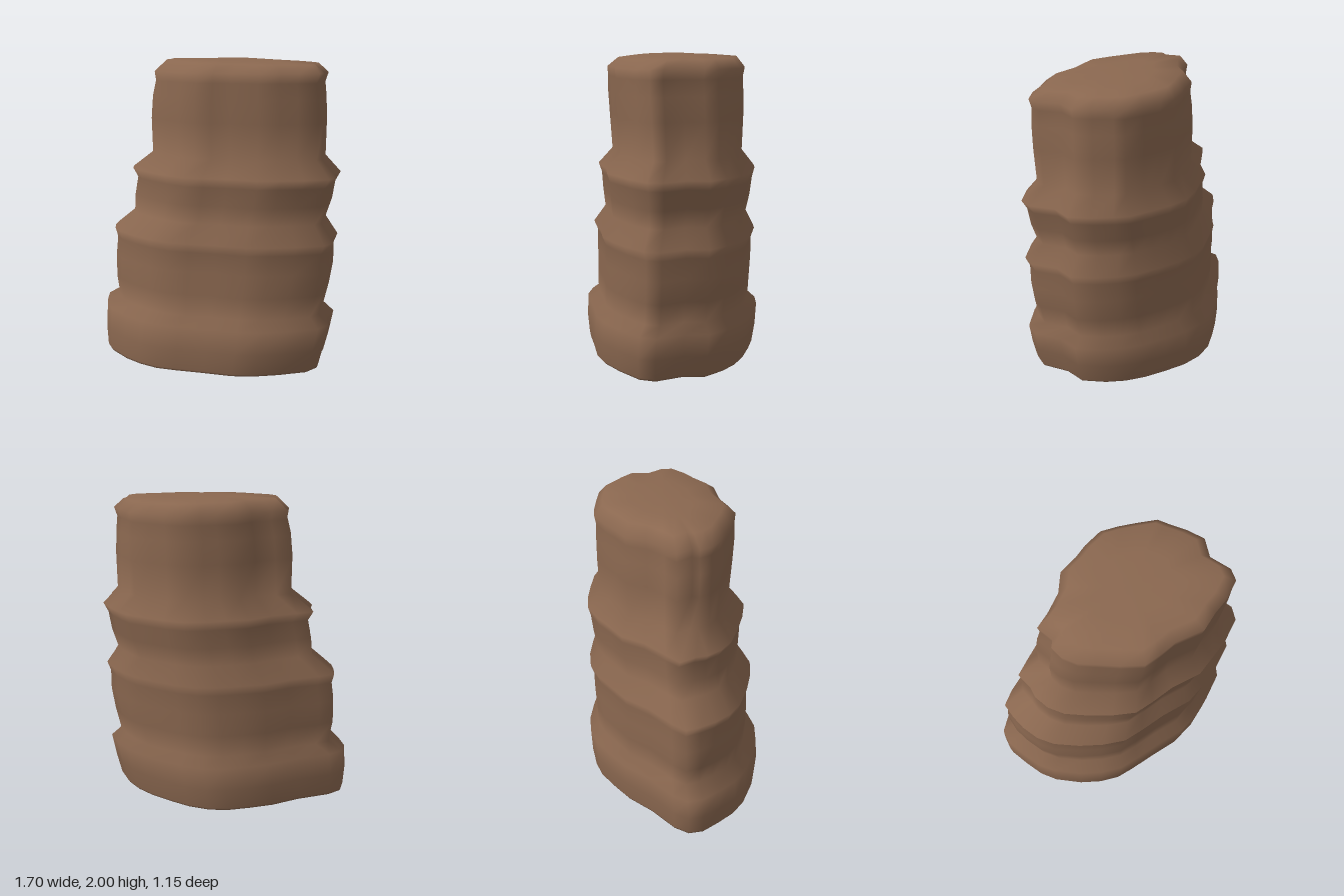
import * as THREE from 'three';

// Plan outlines [x, z], counter-clockwise from above, with matching corners
const BASE = [
  [.79, .05], [.81, -.10], [.72, -.24], [.62, -.34], [.50, -.42], [.35, -.49], [.20, -.55],
  [.05, -.575], [-.08, -.56], [-.23, -.50], [-.38, -.43], [-.55, -.31], [-.76, -.20], [-.84, -.12],
  [-.85, -.02], [-.80, .11], [-.74, .24], [-.66, .34], [-.50, .46], [-.36, .53], [-.22, .57],
  [-.08, .57], [.12, .56], [.32, .555], [.46, .52], [.62, .44], [.79, .33], [.84, .23],
];
const CROWN = [
  [.68, .04], [.72, -.08], [.66, -.18], [.58, -.28], [.54, -.335], [.42, -.38], [.30, -.42],
  [.19, -.445], [.06, -.41], [-.03, -.37], [-.16, -.33], [-.24, -.22], [-.36, -.14], [-.46, -.09],
  [-.42, .02], [-.45, .06], [-.43, .14], [-.37, .22], [-.28, .28], [-.16, .36], [-.03, .43],
  [.08, .42], [.20, .40], [.39, .42], [.51, .36], [.62, .32], [.73, .25], [.745, .17],
];
// Levels: y, x min, x max, z min, z max, blend from base outline to crown outline
const LEVELS = [
  [0, -.835, .745, -.545, .555, 0],
  [.015, -.84, .755, -.555, .565, 0],
  [.15, -.85, .79, -.572, .577, 0],
  [.30, -.84, .82, -.575, .57, .05],
  [.36, -.735, .75, -.51, .50, .15],
  [.50, -.76, .785, -.515, .50, .2],
  [.65, -.76, .81, -.52, .50, .25],
  [.78, -.745, .81, -.52, .50, .3],
  [.84, -.76, .835, -.54, .525, .3],
  [.96, -.61, .75, -.475, .45, .45],
  [1.08, -.60, .79, -.495, .465, .55],
  [1.20, -.575, .81, -.505, .475, .6],
  [1.26, -.61, .845, -.52, .495, .6],
  [1.37, -.46, .74, -.43, .405, .85],
  [1.60, -.46, .745, -.438, .42, 1],
  [1.75, -.445, .74, -.436, .43, 1],
  [1.85, -.42, .73, -.43, .43, 1],
  [1.91, -.43, .75, -.44, .435, 1],
  [1.97, -.35, .68, -.385, .365, 1],
];

// Normalise an outline to 0..1 in both directions
function normalise(points) {
  const box = new THREE.Box2().setFromPoints(points.map(p => new THREE.Vector2(...p)));
  const size = box.getSize(new THREE.Vector2());
  return points.map(([x, z]) => [(x - box.min.x) / size.x, (z - box.min.y) / size.y]);
}

function rockGeometry() {
  const base = normalise(BASE), crown = normalise(CROWN);
  const n = base.length, rings = [];

  // Stepped wall rings
  for (const [y, x0, x1, z0, z1, t] of LEVELS) {
    const mix = normalise(base.map((p, i) => p.map((v, k) => v + (crown[i][k] - v) * t)));
    rings.push(mix.map(([u, v]) => [x0 + u * (x1 - x0), y, z0 + v * (z1 - z0)]));
  }
  // Slightly uneven rim and an inner ring on the crown
  const rim = rings[rings.length - 1];
  rim.forEach(p => { p[1] += .012 - .02 * p[0] - .035 * Math.max(0, p[2]); });
  rings.push(rim.map(([x, y, z]) => [.16 + (x - .16) * .55, .5 * y + .998, z * .55]));

  const position = rings.flat(2), index = [];
  for (let r = 0; r < rings.length - 1; r++) {
    for (let i = 0; i < n; i++) {
      const j = (i + 1) % n, a = r * n + i, b = r * n + j;
      index.push(a, b, b + n, a, b + n, a + n);
    }
  }
  // Close the crown and the underside
  const top = rings.length * n, last = top - n;
  position.push(.16, 2, 0, -.03, 0, 0);
  for (let i = 0; i < n; i++) {
    const j = (i + 1) % n;
    index.push(last + i, last + j, top, j, i, top + 1);
  }
  const geometry = new THREE.BufferGeometry();
  geometry.setAttribute('position', new THREE.Float32BufferAttribute(position, 3));
  geometry.setIndex(index);
  geometry.computeVertexNormals();
  return geometry;
}

export function createModel() {
  const group = new THREE.Group();
  group.name = 'rockColumn';
  const stone = new THREE.MeshStandardMaterial({ color: 0x8b6850 });
  stone.name = 'brown stone';
  const rock = new THREE.Mesh(rockGeometry(), stone);
  rock.name = 'steppedRock';
  group.add(rock);
  return group;
}
